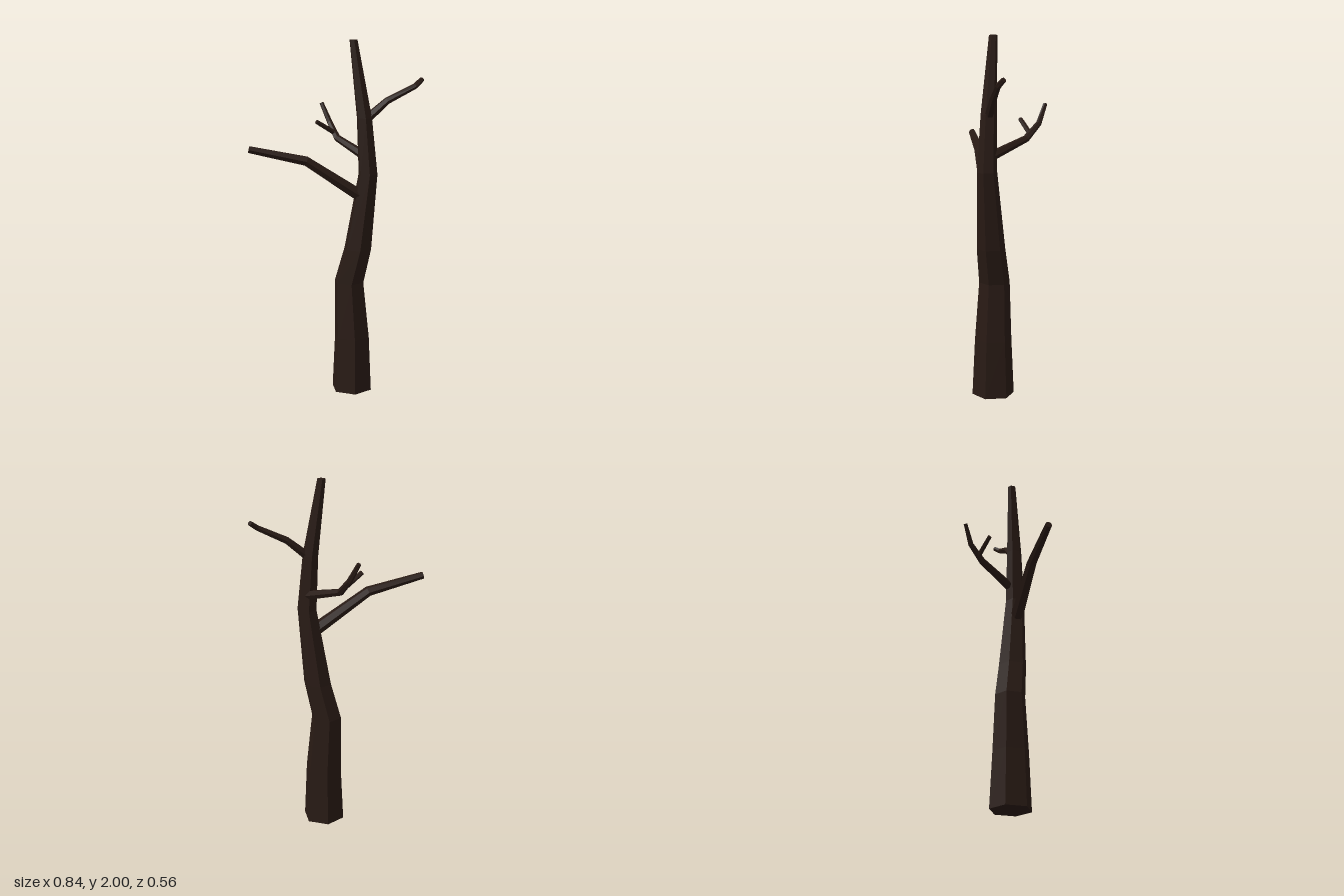
import * as THREE from 'three';

const bark = new THREE.MeshStandardMaterial({ color: 0x281a14, flatShading: true, roughness: 1 });
const SIDES = 6;

// Faceted limb through points [x, y, z, radius]; level keeps every ring horizontal
function limb(name, points, level = false) {
  const centres = points.map(p => new THREE.Vector3(p[0], p[1], p[2]));
  const up = new THREE.Vector3(0, 1, 0);
  const last = points.length - 1;
  const positions = [], index = [];

  centres.forEach((c, i) => {
    const before = c.clone().sub(centres[Math.max(i - 1, 0)]).normalize();
    const after = centres[Math.min(i + 1, last)].clone().sub(c).normalize();
    const axis = level ? up : before.add(after).normalize();
    const u = level ? new THREE.Vector3(1, 0, 0) : new THREE.Vector3().crossVectors(up, axis).normalize();
    const v = new THREE.Vector3().crossVectors(axis, u);
    for (let s = 0; s < SIDES; s++) {
      const a = (s / SIDES) * Math.PI * 2;
      const p = c.clone()
        .addScaledVector(u, Math.cos(a) * points[i][3])
        .addScaledVector(v, Math.sin(a) * points[i][3]);
      positions.push(p.x, p.y, p.z);
    }
  });

  // Side walls
  for (let i = 0; i < last; i++) {
    for (let s = 0; s < SIDES; s++) {
      const t = (s + 1) % SIDES;
      const a = i * SIDES + s, b = i * SIDES + t;
      index.push(a, b, b + SIDES, a, b + SIDES, a + SIDES);
    }
  }
  // End caps
  for (let s = 1; s < SIDES - 1; s++) {
    const e = last * SIDES;
    index.push(0, s + 1, s, e, e + s, e + s + 1);
  }

  const geometry = new THREE.BufferGeometry();
  geometry.setAttribute('position', new THREE.Float32BufferAttribute(positions, 3));
  geometry.setIndex(index);
  const flat = geometry.toNonIndexed();
  flat.computeVertexNormals();
  const mesh = new THREE.Mesh(flat, bark);
  mesh.name = name;
  return mesh;
}

export function createModel() {
  const tree = new THREE.Group();
  tree.name = 'bareTree';
  const z = -0.062;

  tree.add(
    // Bent, tapering trunk
    limb('trunk', [
      [0.068, 0, z, 0.118], [0.068, 0.32, z, 0.103], [0.05, 0.64, z, 0.086],
      [0.102, 0.84, z, 0.079], [0.16, 1.27, z, 0.055], [0.137, 1.58, z, 0.044], [0.072, 2, z, 0.023],
    ], true),
    // Large limb reaching forward
    limb('frontBranch', [
      [0.13, 1.14, -0.05, 0.037], [-0.14, 1.35, 0.105, 0.028], [-0.41, 1.422, 0.26, 0.02],
    ]),
    // Forked limb at the back
    limb('backBranch', [
      [0.14, 1.36, -0.085, 0.027], [-0.075, 1.435, -0.2, 0.02],
      [-0.14, 1.515, -0.25, 0.016], [-0.197, 1.62, -0.268, 0.012],
    ]),
    limb('backTwig', [[-0.095, 1.46, -0.215, 0.015], [-0.173, 1.532, -0.13, 0.013]]),
    // High limb on the left
    limb('upperBranch', [
      [0.15, 1.575, -0.07, 0.026], [0.245, 1.67, -0.13, 0.02],
      [0.38, 1.748, -0.21, 0.016], [0.405, 1.782, -0.25, 0.014],
    ]),
  );
  return tree;
}
